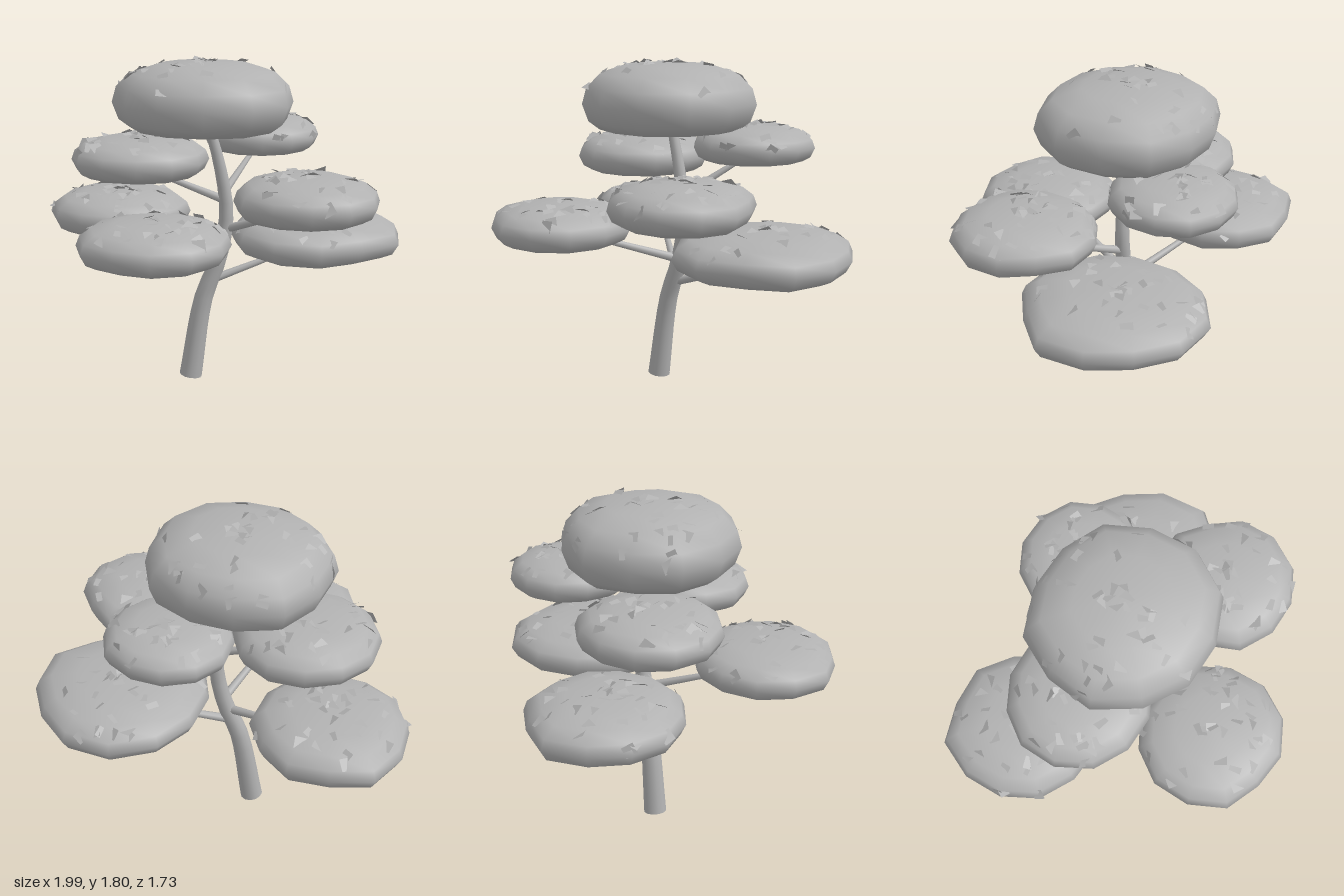
import * as THREE from 'three';
import { mergeVertices, mergeGeometries } from 'three/addons/utils/BufferGeometryUtils.js';

const grey = new THREE.MeshStandardMaterial({ color: 0xb2b2b2, side: THREE.DoubleSide });
grey.name = 'plain grey';

// Small seeded random generator
let seed = 11;
const rand = () => {
  seed = (seed * 16807) % 2147483647;
  return seed / 2147483647;
};

// Foliage pads: centre x/z, bottom, top, and outline radii in 30 degree steps from +x towards +z
const pads = [
  { name: 'crownPad', x: -0.11, z: -0.08, y0: 1.43, y1: 1.785,
    r: [0.48, 0.5, 0.5, 0.47, 0.47, 0.47, 0.49, 0.47, 0.49, 0.46, 0.46, 0.49] },
  { name: 'frontRightPad', x: -0.36, z: 0.47, y0: 0.85, y1: 1.055,
    r: [0.39, 0.4, 0.4, 0.39, 0.37, 0.4, 0.39, 0.39, 0.38, 0.38, 0.38, 0.39] },
  { name: 'frontLeftPad', x: 0.41, z: 0.3, y0: 1.03, y1: 1.245,
    r: [0.38, 0.39, 0.39, 0.38, 0.38, 0.39, 0.37, 0.37, 0.37, 0.375, 0.38, 0.35] },
  { name: 'leftPad', x: 0.5, z: -0.2, y0: 0.72, y1: 0.945,
    r: [0.48, 0.51, 0.46, 0.5, 0.5, 0.48, 0.46, 0.46, 0.48, 0.5, 0.49, 0.46] },
  { name: 'backLeftPad', x: 0.21, z: -0.41, y0: 1.26, y1: 1.45,
    r: [0.33, 0.33, 0.33, 0.33, 0.33, 0.33, 0.32, 0.33, 0.33, 0.33, 0.33, 0.34] },
  { name: 'rightPad', x: -0.46, z: -0.2, y0: 1.155, y1: 1.365,
    r: [0.38, 0.38, 0.38, 0.37, 0.37, 0.38, 0.38, 0.38, 0.37, 0.37, 0.38, 0.38] },
  { name: 'backRightPad', x: -0.6, z: -0.47, y0: 0.79, y1: 1.01,
    r: [0.41, 0.4, 0.4, 0.4, 0.39, 0.4, 0.4, 0.41, 0.44, 0.4, 0.42, 0.4] },
];

// Bun profile: nearly flat underside, low rounded rim, shallow dome
const profile = [[0, 0.03], [0.45, 0.01], [0.8, 0], [0.93, 0.13], [1, 0.39],
  [0.95, 0.63], [0.8, 0.83], [0.5, 0.96], [0, 1]].map(([r, h]) => new THREE.Vector2(r, h));

function padGeometry(pad) {
  const g = new THREE.LatheGeometry(profile, 12);
  const p = g.attributes.position;
  for (let i = 0; i < p.count; i++) {
    const step = Math.round(Math.atan2(p.getZ(i), p.getX(i)) / (Math.PI / 6));
    const s = pad.r[(step + 12) % 12];
    p.setXYZ(i, p.getX(i) * s, p.getY(i) * (pad.y1 - pad.y0), p.getZ(i) * s);
  }
  g.deleteAttribute('uv');
  g.deleteAttribute('normal');
  const merged = mergeVertices(g, 1e-4);
  merged.computeVertexNormals();
  return merged;
}

// Small leaf cards lying on the upper surface, each tilted so a corner pokes out
function leafGeometry(body, pad) {
  const pos = body.attributes.position, nor = body.attributes.normal, idx = body.index;
  const cards = [], h = pad.y1 - pad.y0, up = new THREE.Vector3(0, 0, 1);
  while (cards.length < 42) {
    const t = Math.floor(rand() * idx.count / 3) * 3;
    let a = rand(), b = rand();
    if (a + b > 1) { a = 1 - a; b = 1 - b; }
    const w = [1 - a - b, a, b], c = new THREE.Vector3(), n = new THREE.Vector3();
    w.forEach((k, j) => {
      const i = idx.getX(t + j);
      c.addScaledVector(new THREE.Vector3().fromBufferAttribute(pos, i), k);
      n.addScaledVector(new THREE.Vector3().fromBufferAttribute(nor, i), k);
    });
    if (c.y < h * (0.45 + 0.45 * rand())) continue;
    const size = 0.045 + 0.02 * rand();
    const card = new THREE.PlaneGeometry(size, size);
    card.rotateX((rand() - 0.5) * 1.2);
    card.rotateY((rand() - 0.5) * 0.9);
    card.rotateZ(rand() * 6.28);
    card.applyQuaternion(new THREE.Quaternion().setFromUnitVectors(up, n.normalize()));
    card.translate(c.x, c.y, c.z);
    cards.push(card);
  }
  return mergeGeometries(cards);
}

// Round limb along a path, tapering from r0 to r1
function limb(name, points, r0, r1, rings, sides) {
  const curve = new THREE.CatmullRomCurve3(points.map((q) => new THREE.Vector3(...q)));
  const g = new THREE.TubeGeometry(curve, rings, 1, sides);
  const p = g.attributes.position, v = new THREE.Vector3();
  for (let i = 0; i < p.count; i++) {
    const u = Math.floor(i / (sides + 1)) / rings;
    const c = curve.getPointAt(u);
    v.fromBufferAttribute(p, i).sub(c).multiplyScalar(r0 + (r1 - r0) * u).add(c);
    p.setXYZ(i, v.x, v.y, v.z);
  }
  const cap = new THREE.CircleGeometry(r0, sides);
  const down = curve.getTangentAt(0).negate();
  cap.applyQuaternion(new THREE.Quaternion().setFromUnitVectors(new THREE.Vector3(0, 0, 1), down));
  cap.translate(...points[0]);
  const mesh = new THREE.Mesh(mergeGeometries([g, cap]), grey);
  mesh.name = name;
  return mesh;
}

export function createModel() {
  const tree = new THREE.Group();
  tree.name = 'tree';

  // Leaning, bent trunk
  tree.add(limb('trunk', [[-0.19, 0.012, -0.08], [-0.115, 0.47, -0.085], [-0.03, 0.7, -0.085],
    [0.012, 0.95, -0.085], [-0.02, 1.2, -0.08], [-0.09, 1.47, -0.08]], 0.063, 0.026, 16, 12));

  // Branches, each ending inside its pad
  const branches = [
    ['frontRightBranch', [-0.04, 0.72, -0.06], [-0.34, 0.89, 0.42]],
    ['frontLeftBranch', [0.02, 0.87, -0.08], [0.41, 1.06, 0.28]],
    ['leftBranch', [-0.05, 0.58, -0.09], [0.46, 0.745, -0.2]],
    ['backLeftBranch', [0, 1.07, -0.09], [0.2, 1.29, -0.4]],
    ['rightBranch', [0, 1.03, -0.085], [-0.45, 1.19, -0.19]],
    ['backRightBranch', [-0.06, 0.65, -0.09], [-0.58, 0.81, -0.45]],
  ];
  for (const [name, from, to] of branches) tree.add(limb(name, [from, to], 0.024, 0.012, 2, 8));

  // Foliage
  for (const pad of pads) {
    const group = new THREE.Group();
    group.name = pad.name;
    group.position.set(pad.x, pad.y0, pad.z);
    const body = new THREE.Mesh(padGeometry(pad), grey);
    body.name = 'foliage';
    const leaves = new THREE.Mesh(leafGeometry(body.geometry, pad), grey);
    leaves.name = 'leafCards';
    group.add(body, leaves);
    tree.add(group);
  }
  return tree;
}
